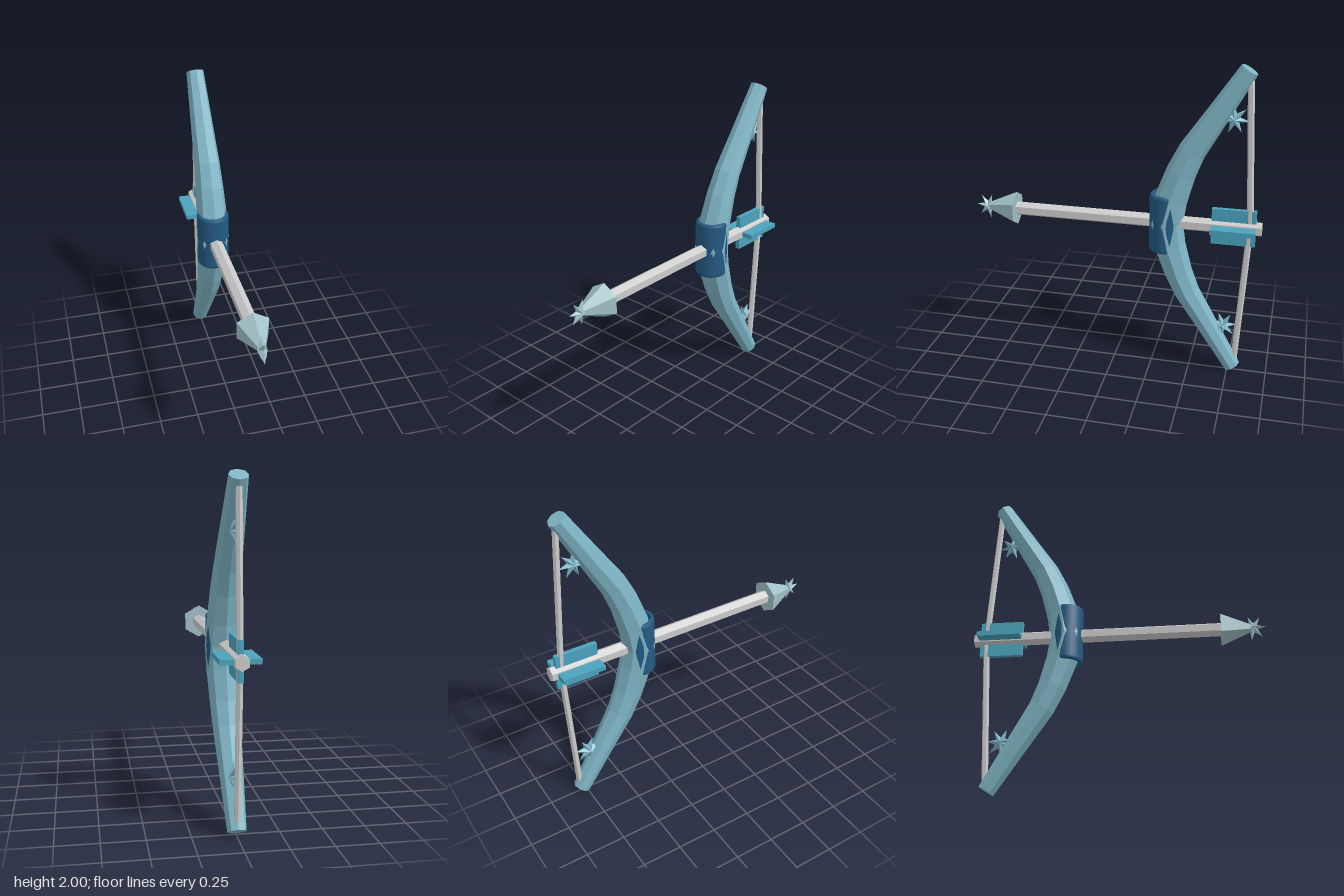
import * as THREE from 'three';

const material = (color, extra = {}) =>
  new THREE.MeshStandardMaterial({ color, flatShading: true, ...extra });
const limbMat = material(0x7fb5c6);
const steelMat = material(0x9fc0c6);
const vaneMat = material(0x4ba3bd);
const greyMat = material(0xcccccc);
const gripMat = material(0x245a82, { flatShading: false, side: THREE.DoubleSide });

function add(group, name, geometry, mat, x = 0, y = 0, z = 0) {
  const mesh = new THREE.Mesh(geometry, mat);
  mesh.name = name;
  mesh.position.set(x, y, z);
  group.add(mesh);
  return mesh;
}

function fromTriangles(positions, index) {
  const g = new THREE.BufferGeometry();
  g.setAttribute('position', new THREE.Float32BufferAttribute(positions, 3));
  g.setIndex(index);
  g.computeVertexNormals();
  return g;
}

// Octagonal tapering sweep along the bent bow line, closed at both tips
function bowGeometry() {
  // height from the middle, z, radius
  const upper = [[0, -0.325, 0.108], [0.15, -0.352, 0.101], [0.33, -0.41, 0.091],
    [0.47, -0.472, 0.083], [0.7, -0.615, 0.07], [0.972, -0.782, 0.055]];
  const rings = [...upper.slice(1).reverse().map(([h, z, r]) => [-h, z, r]), ...upper];
  const sides = 8, pos = [], index = [];
  rings.forEach(([h, z, r], i) => {
    const a = rings[Math.max(i - 1, 0)], b = rings[Math.min(i + 1, rings.length - 1)];
    const len = Math.hypot(b[0] - a[0], b[1] - a[1]);
    const ny = -(b[1] - a[1]) / len, nz = (b[0] - a[0]) / len;
    for (let j = 0; j < sides; j++) {
      const t = (j / sides) * Math.PI * 2, c = r * Math.cos(t);
      pos.push(r * Math.sin(t), 1 + h + c * ny, z + c * nz);
    }
  });
  const last = (rings.length - 1) * sides, centre = pos.length / 3;
  for (const [h, z] of [rings[0], rings[rings.length - 1]]) pos.push(0, 1 + h, z);
  for (let j = 0; j < sides; j++) {
    const k = (j + 1) % sides;
    for (let o = 0; o < last; o += sides) {
      index.push(o + j, o + k, o + sides + j, o + k, o + sides + k, o + sides + j);
    }
    index.push(centre, k, j, centre + 1, last + j, last + k);
  }
  return fromTriangles(pos, index);
}

// Faceted star lying in the yz plane, with a raised centre on both sides
function starGeometry(points, outer, inner, depth) {
  const pos = [depth, 0, 0, -depth, 0, 0], index = [], n = points * 2;
  for (let i = 0; i < n; i++) {
    const t = (i / n) * Math.PI * 2, r = i % 2 ? inner : outer;
    pos.push(0, r * Math.sin(t), r * Math.cos(t));
    const a = 2 + i, b = 2 + ((i + 1) % n);
    index.push(0, b, a, 1, a, b);
  }
  return fromTriangles(pos, index);
}

// Hexagonal bar along z with a ridge at top and bottom
const hexAlongZ = (front, back, length) =>
  new THREE.CylinderGeometry(front, back, length, 6).rotateX(Math.PI / 2);

export function createModel() {
  const model = new THREE.Group();
  model.name = 'bowAndArrow';

  add(model, 'bowLimbs', bowGeometry(), limbMat);

  // Grip sleeve, wrapped round the front and open at the back
  const sleeve = [[0.08, -0.185], [0.094, -0.185], [0.1, -0.178], [0.103, -0.165],
    [0.103, 0.165], [0.1, 0.178], [0.094, 0.185], [0.08, 0.185]]
    .map(([r, h]) => new THREE.Vector2(r, h));
  add(model, 'grip', new THREE.LatheGeometry(sleeve, 20, -2.2, 4.4), gripMat, 0, 1.004, -0.325);

  // String halves, drawn back to the arrow, and a star behind each limb
  for (const s of [1, -1]) {
    const tip = new THREE.Vector3(0, 1 + s * 0.95, -0.79);
    const nock = new THREE.Vector3(0, 1, -0.842);
    const dir = tip.clone().sub(nock);
    const half = s > 0 ? 'upper' : 'lower';
    const string = add(model, half + 'String',
      new THREE.CylinderGeometry(0.02, 0.02, dir.length(), 6), greyMat);
    string.position.copy(tip).add(nock).multiplyScalar(0.5);
    string.quaternion.setFromUnitVectors(new THREE.Vector3(0, 1, 0), dir.normalize());

    const star = add(model, half + 'Star', starGeometry(7, 0.09, 0.036, 0.035),
      limbMat, 0, 1 + s * 0.68, -0.71);
    star.rotation.x = s * 0.3;
  }

  // Arrow
  const arrow = new THREE.Group();
  arrow.name = 'arrow';
  arrow.position.y = 1.002;
  model.add(arrow);
  add(arrow, 'shaft', hexAlongZ(0.045, 0.045, 1.59), greyMat, 0, 0, -0.118);
  add(arrow, 'arrowhead', hexAlongZ(0.012, 0.11, 0.215), steelMat, 0, 0, 0.747);
  const tipStar = add(arrow, 'tipStar', starGeometry(7, 0.082, 0.032, 0.03), steelMat, 0, 0, 0.834);
  tipStar.rotation.x = -0.1;

  // Crossed fletching vanes
  add(arrow, 'uprightVane', new THREE.BoxGeometry(0.03, 0.23, 0.27), vaneMat, 0, 0, -0.742);
  add(arrow, 'levelVane', new THREE.BoxGeometry(0.23, 0.03, 0.27), vaneMat, 0, 0, -0.742);

  return model;
}
